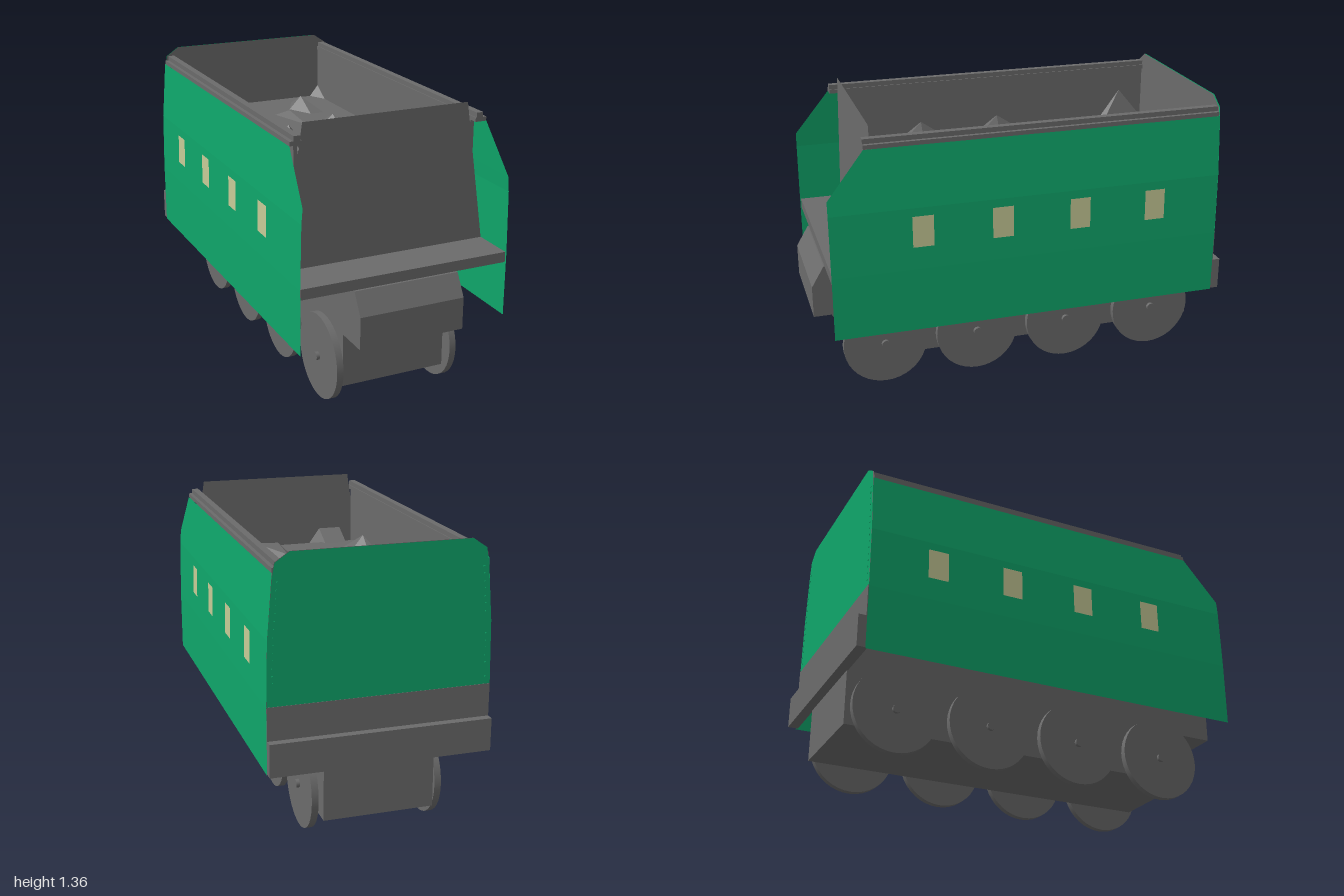
import * as THREE from 'three';
import { ConvexGeometry } from 'three/addons/geometries/ConvexGeometry.js';

const gray = new THREE.MeshStandardMaterial({ color: 0x6b6b6b, side: THREE.DoubleSide });
gray.name = 'dark gray';
const green = new THREE.MeshStandardMaterial({ color: 0x0fa66a, side: THREE.DoubleSide });
green.name = 'green paint';
const cream = new THREE.MeshStandardMaterial({ color: 0xc6ca96, side: THREE.DoubleSide });
cream.name = 'window cream';

export function createModel() {
  const model = new THREE.Group();
  model.name = 'coalTender';

  const add = (name, geometry, material = gray) => {
    const mesh = new THREE.Mesh(geometry, material);
    mesh.name = name;
    model.add(mesh);
    return mesh;
  };
  // Box given by its limits on each axis
  const box = (name, x0, x1, y0, y1, z0, z1, material) => {
    const g = new THREE.BoxGeometry(Math.abs(x1 - x0), y1 - y0, z1 - z0);
    g.translate((x0 + x1) / 2, (y0 + y1) / 2, (z0 + z1) / 2);
    return add(name, g, material);
  };
  const shape = (pts) => new THREE.Shape(pts.map(([a, b]) => new THREE.Vector2(a, b)));
  // Side profile in (z, y), extruded across the width
  const prism = (name, pts, halfWidth) => {
    const g = new THREE.ExtrudeGeometry(shape(pts), { depth: halfWidth * 2, bevelEnabled: false });
    g.rotateY(-Math.PI / 2);
    g.translate(halfWidth, 0, 0);
    return add(name, g);
  };
  // Upright sheet lofted through rows of [x, y, zBack, zFront]
  const sheet = (name, rows, side, material) => {
    const pos = [], index = [];
    rows.forEach(([x, y, zb, zf], i) => {
      pos.push(side * x, y, zb, side * x, y, zf);
      if (!i) return;
      const a = 2 * i - 2, b = a + 1, c = a + 2, d = a + 3;
      if (side > 0) index.push(a, c, b, b, c, d);
      else index.push(a, b, c, b, d, c);
    });
    const g = new THREE.BufferGeometry();
    g.setAttribute('position', new THREE.Float32BufferAttribute(pos, 3));
    g.setIndex(index);
    const flat = g.toNonIndexed();
    flat.computeVertexNormals();
    return add(name, flat, material);
  };

  // Frame, deck and buffers
  box('chassis', -0.26, 0.26, 0.115, 0.64, -0.955, 0.83);
  box('deck', -0.515, 0.515, 0.635, 0.685, -0.955, 0.935);
  prism('frontNose', [[0.8, 0.375], [1, 0.375], [1, 0.53], [0.94, 0.632], [0.8, 0.632]], 0.26);
  box('rearBeam', -0.517, 0.517, 0.53, 0.685, -0.963, -0.94);
  box('rearBumper', -0.517, 0.517, 0.375, 0.53, -1, -0.95);

  // Curved side walls, windows, liners and rails
  const wall = [[0.518, 0.37], [0.518, 0.68], [0.511, 0.98], [0.505, 1.05], [0.487, 1.27]];
  const wallX = (y) => {
    const i = wall.findIndex((p) => p[1] >= y);
    const [x0, y0] = wall[i - 1], [x1, y1] = wall[i];
    return x0 + ((x1 - x0) * (y - y0)) / (y1 - y0);
  };
  for (const s of [1, -1]) {
    sheet('sideWall', wall.map(([x, y]) => [x, y, -0.96, y > 1.1 ? 0.765 : 0.94]), s, green);
    for (const z of [0.51, 0.13, -0.25, -0.63]) {
      sheet('window', [0.79, 0.94].map((y) => [wallX(y) + 0.003, y, z - 0.05, z + 0.05]), s, cream);
    }
    box('bunkerLiner', s * 0.43, s * 0.45, 0.68, 1.28, -0.95, 0.72);
    box('lowerRail', s * 0.43, s * 0.486, 1.27, 1.29, -0.955, 0.765);
    box('upperRail', s * 0.435, s * 0.468, 1.29, 1.313, -0.955, 0.765);
  }

  // Front and rear bulkheads
  const front = new THREE.ShapeGeometry(shape([[-0.515, 0.68], [0.515, 0.68], [0.41, 1.357], [-0.41, 1.357]]));
  front.translate(0, 0, 0.725);
  add('frontBulkhead', front);
  const half = [[0.518, 0.68], [0.511, 0.98], [0.487, 1.25], [0.475, 1.313], [0.41, 1.357]];
  const outline = shape([...half, ...half.map(([x, y]) => [-x, y]).reverse()]);
  const inner = new THREE.ShapeGeometry(outline);
  inner.translate(0, 0, -0.955);
  add('rearBulkheadInside', inner);
  const outer = new THREE.ShapeGeometry(outline);
  outer.rotateY(Math.PI);
  outer.translate(0, 0, -0.961);
  add('rearBulkheadOutside', outer, green);

  // Rivets down both edges of the rear bulkhead
  for (const s of [1, -1]) {
    for (let i = 0; i < 16; i++) {
      const y = 0.72 + i * 0.034, x = s * (wallX(y) - 0.025);
      box('rivet', x - 0.003, x + 0.003, y - 0.003, y + 0.003, -0.964, -0.96, green);
    }
  }

  // Coal bed, sloping down at the front
  prism('coalBed', [[-0.95, 0.68], [0.72, 0.68], [0.72, 0.9], [0.625, 1], [-0.95, 1]], 0.43);

  // Coal lumps: base outline [x, z] and raised points [x, y, z]
  const lumps = [
    [[[-0.43, -0.95], [-0.39, -0.95], [-0.39, -0.72], [-0.43, -0.7]], [[-0.43, 1.16, -0.82]]],
    [[[0.22, -0.86], [0.15, -0.72], [0.22, -0.58], [0.3, -0.58]], [[0.22, 1.07, -0.72]]],
    [[[0.03, -0.65], [0.11, -0.65], [0.11, -0.38]], [[0.1, 1.03, -0.6]]],
    [[[0.22, -0.44], [0.15, -0.31], [0.22, -0.17], [0.3, -0.17]], [[0.22, 1.07, -0.3]]],
    [[[-0.43, -0.24], [-0.36, -0.24], [-0.28, -0.1], [-0.28, 0.04], [-0.36, 0.04]], [[-0.36, 1.1, -0.1]]],
    [[[-0.2, -0.24], [-0.12, -0.24], [-0.04, -0.1], [-0.12, 0.04], [-0.2, -0.1]], [[-0.12, 1.1, -0.1]]],
    [[[-0.43, 0.18], [-0.36, 0.18], [-0.28, 0.31], [-0.28, 0.45], [-0.36, 0.45], [-0.43, 0.31]], [[-0.36, 1.1, 0.31]]],
    [[[0.03, -0.03], [0.11, -0.03], [0.3, 0.31], [0.23, 0.45], [0.11, 0.45], [0.03, 0.31]],
      [[0.11, 1.09, 0.31], [0.23, 1.095, 0.31], [0.11, 1.07, 0.12]]],
    [[[-0.36, 0.59], [-0.24, 0.59], [-0.13, 0.72], [-0.43, 0.72], [-0.43, 0.66]], [[-0.36, 1.06, 0.71], [-0.24, 1.06, 0.71]]],
    [[[0.38, -0.95], [0.43, -0.95], [0.43, -0.85]], [[0.43, 1.06, -0.95]]],
  ];
  for (const [base, peaks] of lumps) {
    const pts = base.map(([x, z]) => new THREE.Vector3(x, z > 0.6 ? 0.9 : 0.998, z));
    peaks.forEach((p) => pts.push(new THREE.Vector3(...p)));
    add('coalLump', new ConvexGeometry(pts));
  }

  // Four axles with disc wheels
  for (const z of [0.667, 0.202, -0.264, -0.73]) {
    const axle = new THREE.CylinderGeometry(0.02, 0.02, 0.65, 16);
    axle.rotateZ(Math.PI / 2);
    axle.translate(0, 0.206, z);
    add('axle', axle);
    for (const s of [1, -1]) {
      const wheel = new THREE.CylinderGeometry(0.206, 0.206, 0.032, 40);
      wheel.rotateZ(Math.PI / 2);
      wheel.translate(s * 0.293, 0.206, z);
      add('wheel', wheel);
    }
  }
  return model;
}
